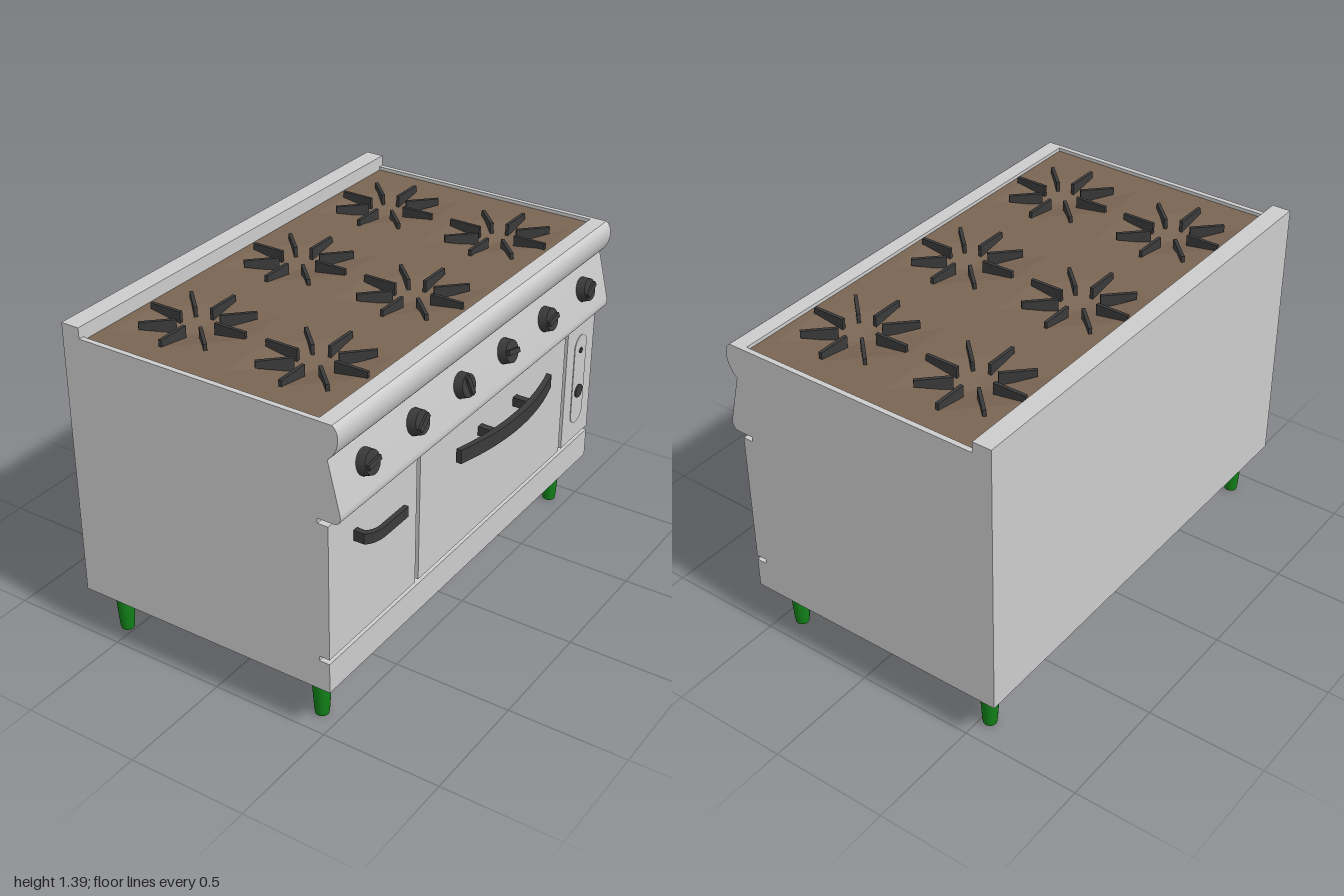
import * as THREE from 'three';
import { toCreasedNormals } from 'three/addons/utils/BufferGeometryUtils.js';

const mat = (color) => new THREE.MeshStandardMaterial({ color });
const steel = mat(0xcccccc);
const dark = mat(0x3a3a3a);
const brown = mat(0x7a6553);
const green = mat(0x128218);

export function createModel() {
  const root = new THREE.Group();
  const add = (name, geo, material, x = 0, y = 0, z = 0, parent = root) => {
    const m = new THREE.Mesh(geo, material);
    m.name = name;
    m.position.set(x, y, z);
    parent.add(m);
    return m;
  };
  const extrude = (shape, depth, curveSegments = 16) => toCreasedNormals(
    new THREE.ExtrudeGeometry(shape, { depth, bevelEnabled: false, curveSegments }), 0.5);

  // Side profile of the body; the middle part has a recess for the hob
  const profile = (recessed) => {
    const s = new THREE.Shape();
    s.moveTo(-0.635, 0.21);
    s.lineTo(0.53, 0.21);
    s.lineTo(0.53, 0.34);
    s.lineTo(0.485, 0.34);
    s.lineTo(0.485, 0.955);
    s.lineTo(0.555, 0.955);
    s.bezierCurveTo(0.575, 0.955, 0.585, 0.975, 0.58, 1.0);
    s.lineTo(0.53, 1.205);
    s.bezierCurveTo(0.575, 1.24, 0.59, 1.32, 0.55, 1.345);
    if (recessed) {
      s.lineTo(0.485, 1.345);
      s.lineTo(0.485, 1.27);
      s.lineTo(-0.555, 1.27);
    } else s.lineTo(-0.555, 1.345);
    s.lineTo(-0.555, 1.39);
    s.lineTo(-0.635, 1.39);
    s.closePath();
    return s;
  };
  add('bodyMiddle', extrude(profile(true), 1.956), steel, 0, 0, -0.978);
  add('bodyLeftEnd', extrude(profile(false), 0.022), steel, 0, 0, 0.978);
  add('bodyRightEnd', extrude(profile(false), 0.022), steel, 0, 0, -1);

  // Front panels, separated by narrow grooves
  for (const [name, z0, z1] of [['sidePanel', 0.425, 1], ['ovenDoor', -0.735, 0.402], ['controlPanel', -1, -0.76]]) {
    add(name, new THREE.BoxGeometry(0.047, 0.575, z1 - z0), steel, 0.5065, 0.6475, (z0 + z1) / 2);
  }

  // Hob pans: flat rims with a shallow square dip under each burner
  const finShape = new THREE.Shape();
  finShape.moveTo(0.08, 1.3);
  finShape.lineTo(0.22, 1.328);
  finShape.lineTo(0.22, 1.356);
  finShape.lineTo(0.08, 1.356);
  finShape.closePath();
  const finGeo = extrude(finShape, 0.014);
  finGeo.translate(0, 0, -0.007);
  const dip = [-1, -0.22, 0, 0.22, 1];
  for (const x of [-0.295, 0.225]) {
    for (const z of [-0.652, 0, 0.652]) {
      const pan = new THREE.PlaneGeometry(4, 4, 4, 4).rotateX(-Math.PI / 2);
      const p = pan.attributes.position;
      for (let i = 0; i < p.count; i++) {
        const u = Math.round(p.getX(i)), v = Math.round(p.getZ(i));
        const px = Math.abs(u) === 2 ? Math.sign(u) * 0.26 : dip[u + 2];
        const pz = Math.abs(v) === 2 ? Math.sign(v) * 0.326 : dip[v + 2];
        p.setXYZ(i, px, u === 0 && v === 0 ? 1.295 : 1.33, pz);
      }
      // The inner ring slopes evenly down to the centre
      add('hobPan', toCreasedNormals(pan, 0.05), brown, x, 0, z);

      const burner = new THREE.Group();
      burner.name = 'potSupport';
      burner.position.set(x < 0 ? x : 0.237, 0, z * 0.982);
      root.add(burner);
      for (let k = 0; k < 8; k++) {
        add('supportFin', finGeo, dark, 0, 0, 0, burner).rotation.y = k * Math.PI / 4;
      }
    }
  }

  // Control knobs, square to the sloping fascia
  const dialGeo = new THREE.CylinderGeometry(0.046, 0.052, 0.036, 28);
  const gripGeo = new THREE.BoxGeometry(0.078, 0.014, 0.02);
  const tilt = Math.atan2(0.205, 0.05) - Math.PI;
  const turns = [0.1, 0.5, 1.8, -0.2, 0.15, 0.4];
  turns.forEach((turn, i) => {
    const knob = new THREE.Group();
    knob.name = 'knob';
    knob.position.set(0.553, 1.11, 0.81 - i * 0.324);
    knob.rotation.z = tilt + Math.PI / 2 - 0.001;
    knob.rotation.z = -Math.PI / 2 + Math.atan2(0.05, 0.205);
    root.add(knob);
    add('knobDial', dialGeo, dark, 0, 0.018, 0, knob);
    add('knobGrip', gripGeo, dark, 0, 0.041, 0, knob).rotation.y = Math.PI / 2 + turn;
  });

  // Handles: plan outlines (x, z) raised to a bar height
  const bar = (name, shape, yTop, height) =>
    add(name, extrude(shape, height, 24).rotateX(Math.PI / 2), dark, 0, yTop, 0);
  const oven = new THREE.Shape();
  oven.moveTo(0.555, -0.53);
  oven.lineTo(0.578, -0.53);
  oven.quadraticCurveTo(0.684, -0.172, 0.578, 0.185);
  oven.lineTo(0.555, 0.185);
  oven.quadraticCurveTo(0.652, -0.172, 0.555, -0.53);
  bar('ovenHandle', oven, 0.845, 0.06);
  for (const z of [-0.31, -0.035]) {
    add('ovenHandlePost', new THREE.BoxGeometry(0.075, 0.04, 0.03), dark, 0.5625, 0.814, z);
  }

  const small = new THREE.Shape();
  small.moveTo(0.59, 0.608);
  small.lineTo(0.61, 0.608);
  small.lineTo(0.61, 0.76);
  small.quadraticCurveTo(0.608, 0.82, 0.575, 0.845);
  small.lineTo(0.528, 0.845);
  small.lineTo(0.528, 0.822);
  small.lineTo(0.565, 0.822);
  small.quadraticCurveTo(0.59, 0.8, 0.59, 0.76);
  small.closePath();
  bar('sideHandle', small, 0.836, 0.044);

  // Oval control plate with a lamp and a thermostat dial
  const oval = new THREE.Shape();
  oval.absarc(0, 0.16, 0.052, 0, Math.PI, false);
  oval.absarc(0, -0.16, 0.052, Math.PI, Math.PI * 2, false);
  add('controlPlate', extrude(oval, 0.004).rotateY(Math.PI / 2), steel, 0.529, 0.65, -0.88);
  const button = (name, r, depth, y) =>
    add(name, new THREE.CylinderGeometry(r, r, depth, 24).rotateZ(Math.PI / 2), dark, 0.531 + depth / 2, y, -0.88);
  button('lamp', 0.013, 0.006, 0.79);
  button('thermostat', 0.03, 0.009, 0.593);

  // Tapered feet
  const footGeo = new THREE.LatheGeometry([
    [0, 0], [0.027, 0], [0.03, 0.02], [0.037, 0.13], [0.038, 0.21], [0, 0.21],
  ].map(([r, y]) => new THREE.Vector2(r, y)), 24);
  const foot = toCreasedNormals(footGeo, 0.5);
  for (const x of [-0.535, 0.42]) {
    for (const z of [-0.895, 0.895]) add('foot', foot, green, x, 0, z);
  }
  return root;
}
